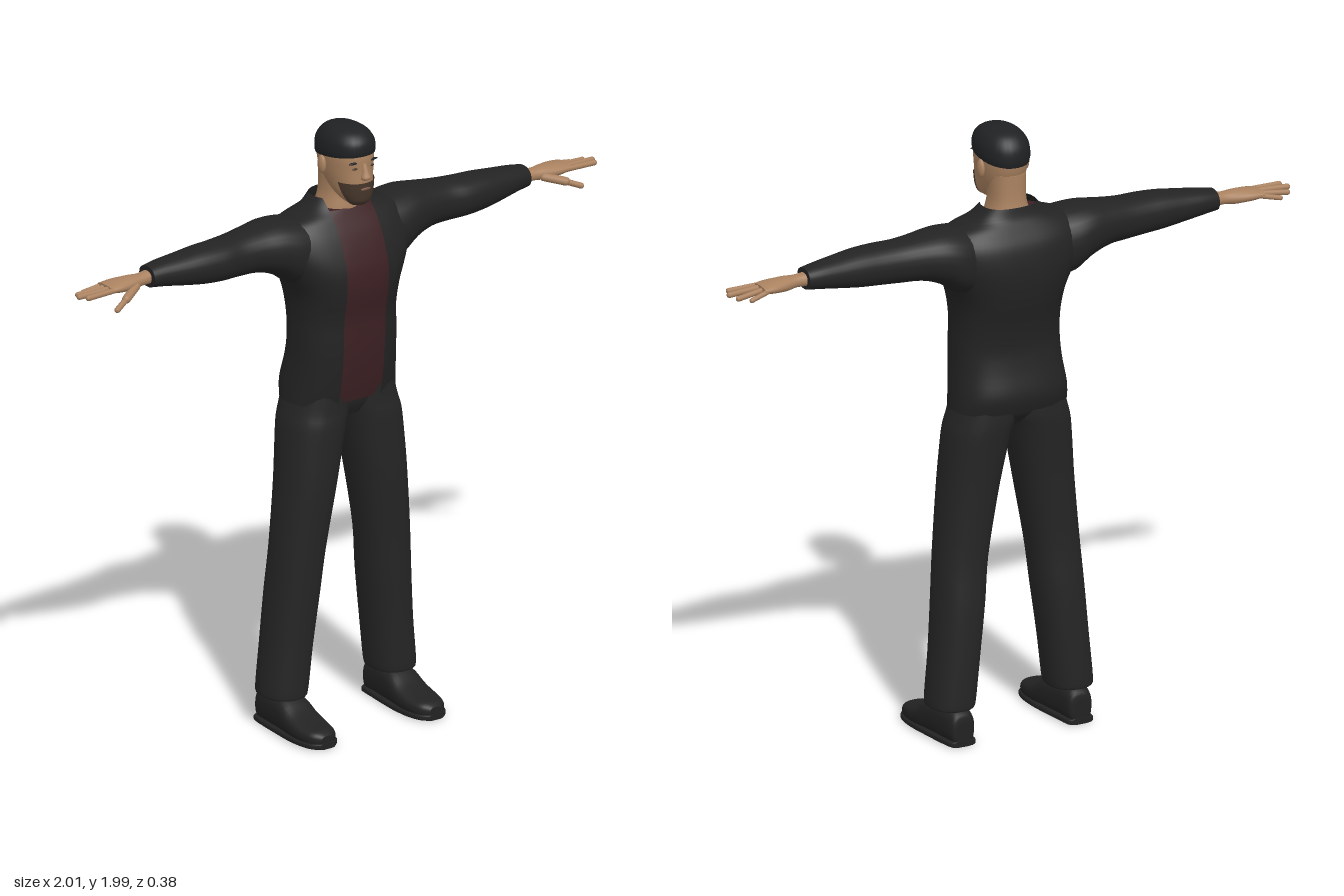
import * as THREE from 'three';

const mat = (name, color, side = THREE.FrontSide) => {
  const m = new THREE.MeshStandardMaterial({ color, side });
  m.name = name;
  return m;
};

const smooth = (a, b, c, d, t) =>
  0.5 * (2 * b + (c - a) * t + (2 * a - 5 * b + 4 * c - d) * t * t + (3 * b - a - 3 * c + d) * t ** 3);

// Lofts rounded sections [t, u0, u1, v0, v1] along an axis.
// (u, v) is (x, z) along y, (z, y) along x, (y, x) along z. gap leaves the +v side open.
function loft(rows, { axis = 'y', pow = 2.3, seg = 28, steps = 4, gap = null, arc = null, warp = null } = {}) {
  const rings = [];
  for (let i = 0; i < rows.length - 1; i++) {
    const [a, b, c, d] = [i - 1, i, i + 1, i + 2].map(k => rows[THREE.MathUtils.clamp(k, 0, rows.length - 1)]);
    for (let s = 0; s < steps; s++) rings.push(b.map((_, k) => smooth(a[k], b[k], c[k], d[k], s / steps)));
  }
  rings.push(rows[rows.length - 1]);
  const pos = [], idx = [];
  const put = (u, t, v) => {
    const p = axis === 'y' ? [u, t, v] : axis === 'x' ? [t, v, u] : [v, u, t];
    if (warp) warp(p);
    pos.push(...p);
  };
  const open = gap !== null || arc !== null;
  const cols = open ? seg + 1 : seg;
  const ringPoints = ([t, u0, u1, v0, v1]) => {
    const ru = (u1 - u0) / 2, rv = (v1 - v0) / 2;
    let from = 0, span = Math.PI * 2;
    if (gap !== null) {
      const half = Math.asin(Math.min(1, (gap / ru) ** (pow / 2)));
      from = Math.PI / 2 + half;
      span -= 2 * half;
    } else if (arc !== null) {
      from = Math.PI / 2 - arc;
      span = 2 * arc;
    }
    for (let j = 0; j < cols; j++) {
      const an = from + span * j / seg, c = Math.cos(an), s = Math.sin(an);
      put((u0 + u1) / 2 + ru * Math.sign(c) * Math.abs(c) ** (2 / pow), t,
        (v0 + v1) / 2 + rv * Math.sign(s) * Math.abs(s) ** (2 / pow));
    }
  };
  rings.forEach(ringPoints);
  for (let i = 0; i < rings.length - 1; i++) for (let j = 0; j < seg; j++) {
    const a = i * cols + j, b = i * cols + (j + 1) % cols;
    idx.push(a, a + cols, b, b, a + cols, b + cols);
  }
  if (!open) [0, rings.length - 1].forEach((r, end) => {
    const base = pos.length / 3, q = rings[r];
    ringPoints(q);
    put((q[1] + q[2]) / 2, q[0], (q[3] + q[4]) / 2);
    for (let j = 0; j < seg; j++) {
      const a = base + j, b = base + (j + 1) % seg;
      idx.push(base + seg, end ? b : a, end ? a : b);
    }
  });
  const g = new THREE.BufferGeometry();
  g.setAttribute('position', new THREE.Float32BufferAttribute(pos, 3));
  g.setIndex(idx);
  g.computeVertexNormals();
  return g;
}

// Reflects a geometry in x and restores its winding
function mirrored(geo) {
  const g = geo.clone().scale(-1, 1, 1), ix = g.index.array;
  for (let i = 0; i < ix.length; i += 3) [ix[i], ix[i + 1]] = [ix[i + 1], ix[i]];
  return g;
}

function finger(a, b, r) {
  const from = new THREE.Vector3(...a), to = new THREE.Vector3(...b), dir = to.clone().sub(from);
  const g = new THREE.CapsuleGeometry(r, dir.length() - r, 4, 10);
  g.applyQuaternion(new THREE.Quaternion().setFromUnitVectors(new THREE.Vector3(0, 1, 0), dir.normalize()));
  const mid = from.add(to).multiplyScalar(0.5);
  return g.translate(mid.x, mid.y, mid.z);
}

const blob = (x, y, z, rx, ry, rz) => new THREE.SphereGeometry(1, 16, 10).scale(rx, ry, rz).translate(x, y, z);

// Symmetric upright section: height, half width, back, front
const sym = rows => rows.map(([y, w, back, front]) => [y, -w, w, back, front]);
const inflate = (rows, d) => rows.map(([t, a, b, c, e]) => [t, a - d, b + d, c - d, e + d]);

export function createModel() {
  const model = new THREE.Group();
  model.name = 'standingMan';
  const jacketMat = mat('jacket black', 0x232323, THREE.DoubleSide);
  const trouserMat = mat('trouser black', 0x252525);
  const shoeMat = mat('shoe black', 0x222222);
  const shirtMat = mat('shirt maroon', 0x3c2023);
  const skinMat = mat('skin', 0xaa8260);
  const hairMat = mat('hair black', 0x1f2123);
  const beardMat = mat('beard brown', 0x46362b, THREE.DoubleSide);
  const lipMat = mat('lips', 0x7d5848);

  const add = (name, geo, m) => {
    const mesh = new THREE.Mesh(geo, m);
    mesh.name = name;
    model.add(mesh);
  };
  const pair = (name, geo, m) => {
    add(name + 'Left', geo, m);
    add(name + 'Right', mirrored(geo), m);
  };

  // Torso: open jacket over a shirt
  const torso = sym([
    [1.085, 0.195, -0.168, 0.075], [1.14, 0.19, -0.18, 0.088], [1.22, 0.181, -0.162, 0.1],
    [1.29, 0.178, -0.152, 0.105], [1.37, 0.176, -0.162, 0.108], [1.45, 0.185, -0.182, 0.122],
    [1.52, 0.213, -0.192, 0.122], [1.58, 0.238, -0.191, 0.106], [1.64, 0.24, -0.178, 0.08],
    [1.685, 0.21, -0.15, 0.052], [1.715, 0.13, -0.13, 0.033], [1.75, 0.09, -0.12, 0.012],
  ]);
  add('jacket', loft(torso, { pow: 2.5, seg: 48, gap: 0.08 }), jacketMat);
  add('shirt', loft(inflate(torso.slice(0, 11), -0.007), { pow: 2.5, seg: 48 }), shirtMat);

  // Sleeves
  pair('sleeve', loft([
    [0.13, -0.15, 0.06, 1.47, 1.695], [0.2, -0.165, 0.06, 1.49, 1.703], [0.26, -0.16, 0.048, 1.53, 1.705],
    [0.33, -0.142, 0.03, 1.553, 1.697], [0.4, -0.128, 0.022, 1.557, 1.69], [0.47, -0.12, 0.028, 1.56, 1.687],
    [0.54, -0.115, 0.022, 1.565, 1.684], [0.61, -0.11, 0.01, 1.575, 1.676], [0.68, -0.105, -0.005, 1.586, 1.668],
    [0.73, -0.098, -0.015, 1.592, 1.66],
  ], { axis: 'x' }), jacketMat);

  // Hands
  pair('palm', loft([
    [0.71, -0.085, -0.032, 1.602, 1.648], [0.76, -0.08, -0.03, 1.604, 1.642], [0.8, -0.09, -0.022, 1.6, 1.643],
    [0.85, -0.101, -0.016, 1.604, 1.64], [0.89, -0.102, -0.018, 1.611, 1.634],
  ], { axis: 'x', seg: 18 }), skinMat);
  [
    [-0.092, [0.945, 1.606, -0.106], 0.008], [-0.07, [0.982, 1.612, -0.085], 0.009],
    [-0.047, [0.998, 1.618, -0.055], 0.0095], [-0.027, [0.985, 1.62, -0.025], 0.009],
  ].forEach(([z, tip, r], i) => pair('finger' + (i + 1), finger([0.87, 1.622, z], tip, r), skinMat));
  pair('thumbBase', finger([0.785, 1.616, -0.035], [0.858, 1.593, 0.003], 0.014), skinMat);
  pair('thumbTip', finger([0.845, 1.597, -0.003], [0.903, 1.573, 0.018], 0.0095), skinMat);

  // Trouser legs
  pair('trouserLeg', loft([
    [0.112, 0.14, 0.28, -0.138, 0.028], [0.135, 0.133, 0.284, -0.142, 0.032], [0.28, 0.117, 0.27, -0.142, 0.036],
    [0.45, 0.096, 0.257, -0.138, 0.046], [0.6, 0.079, 0.246, -0.128, 0.055], [0.8, 0.045, 0.228, -0.135, 0.07],
    [0.93, 0.02, 0.217, -0.146, 0.073], [1.01, 0.003, 0.208, -0.155, 0.074], [1.06, -0.012, 0.195, -0.158, 0.07],
    [1.13, -0.01, 0.175, -0.155, 0.07],
  ]), trouserMat);
  add('trouserSeat', loft(sym([[1.03, 0.06, -0.11, 0.04], [1.07, 0.16, -0.145, 0.06], [1.12, 0.17, -0.16, 0.07]])), trouserMat);

  // Shoes and soles
  const shoe = [
    [-0.148, 0.015, 0.08, 0.185, 0.235], [-0.138, 0.003, 0.11, 0.168, 0.25], [-0.08, 0.003, 0.125, 0.16, 0.26],
    [0, 0.003, 0.118, 0.151, 0.268], [0.06, 0.003, 0.082, 0.147, 0.273], [0.12, 0.003, 0.063, 0.15, 0.271],
    [0.165, 0.004, 0.055, 0.163, 0.258], [0.188, 0.01, 0.042, 0.188, 0.233],
  ];
  pair('shoe', loft(shoe, { axis: 'z', pow: 2.7 }), shoeMat);
  pair('sole', loft(shoe.map(([z, , , a, b]) => [z * 1.02, 0, 0.02, a - 0.004, b + 0.004]), { axis: 'z', pow: 5 }), shoeMat);

  // Neck and head
  add('neck', loft(sym([
    [1.66, 0.085, -0.125, 0.03], [1.715, 0.07, -0.115, 0.028], [1.77, 0.058, -0.106, 0.022], [1.85, 0.06, -0.105, 0.03],
  ])), skinMat);
  const head = sym([
    [1.742, 0.025, 0.03, 0.082], [1.757, 0.043, -0.005, 0.096], [1.785, 0.058, -0.05, 0.1],
    [1.82, 0.067, -0.088, 0.101], [1.86, 0.074, -0.105, 0.099], [1.9, 0.077, -0.11, 0.1],
    [1.94, 0.073, -0.105, 0.09], [1.97, 0.05, -0.07, 0.06],
  ]);
  add('head', loft(head, { pow: 2.2 }), skinMat);
  add('nose', loft(sym([
    [1.828, 0.008, 0.085, 0.105], [1.837, 0.016, 0.085, 0.12], [1.855, 0.011, 0.085, 0.113], [1.885, 0.007, 0.085, 0.1],
  ]), { seg: 14 }), skinMat);
  pair('ear', blob(0.079, 1.863, -0.02, 0.011, 0.031, 0.018).rotateX(0), skinMat);

  // Hair, with a hairline that dips at the back
  add('hair', loft(sym([
    [1.898, 0.079, -0.114, 0.103], [1.915, 0.082, -0.117, 0.105], [1.945, 0.078, -0.112, 0.1],
    [1.97, 0.062, -0.091, 0.08], [1.984, 0.038, -0.06, 0.05], [1.99, 0.008, -0.014, 0.006],
  ]), { pow: 2.2, warp: p => { p[1] += (p[2] - 0.02) * 0.13 * Math.max(0, (1.99 - p[1]) / 0.09); } }), hairMat);

  // Beard, lips, brows and eyes
  add('beard', loft(inflate(head.slice(0, 4), 0.004), { pow: 2.2, arc: 1.2 }), beardMat);
  add('lips', blob(0, 1.8, 0.104, 0.019, 0.005, 0.004), lipMat);
  pair('eyebrow', blob(0.032, 1.888, 0.092, 0.019, 0.004, 0.005).rotateY(0.05), hairMat);
  pair('eye', blob(0.031, 1.869, 0.091, 0.011, 0.004, 0.004), beardMat);
  return model;
}
